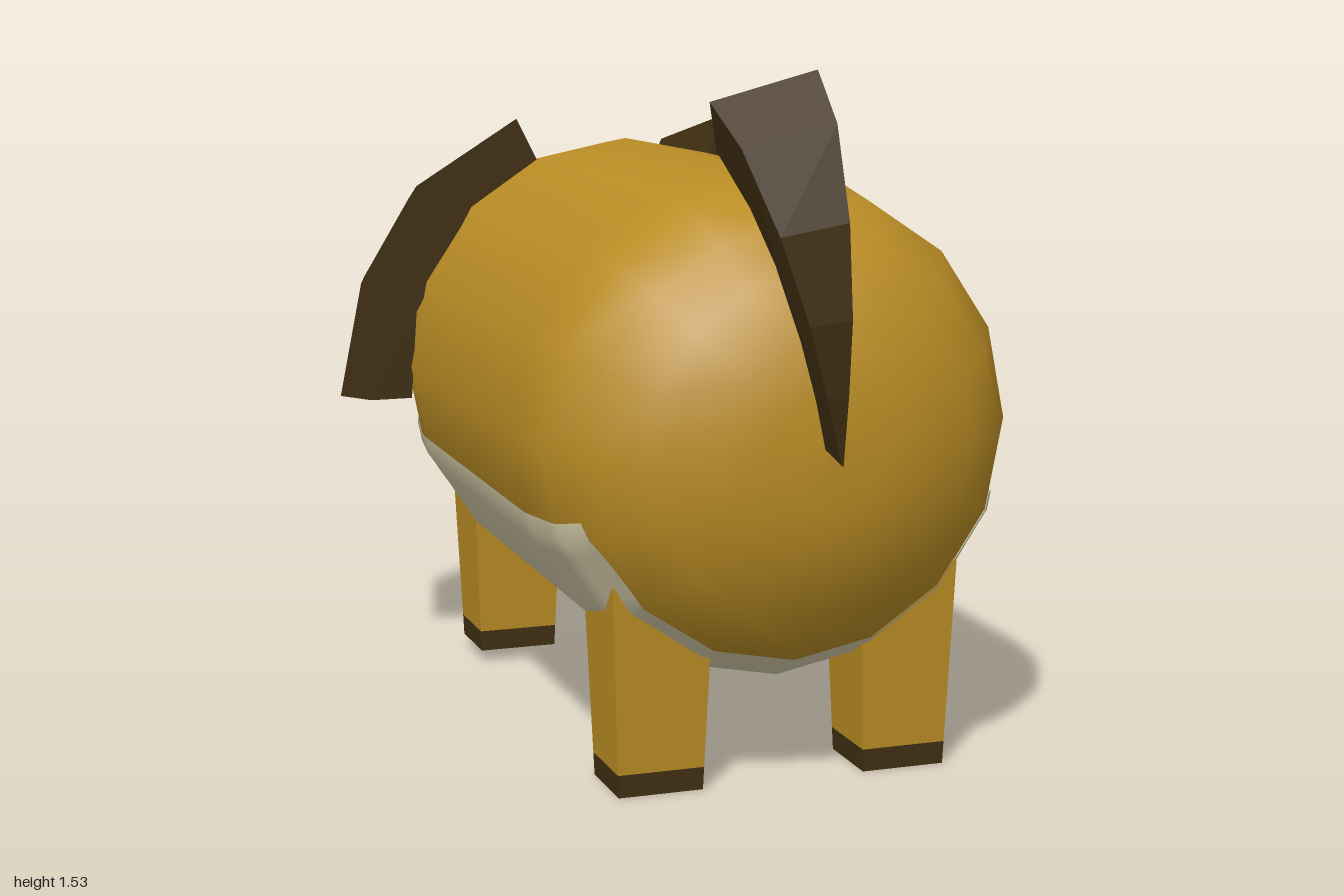
import * as THREE from 'three';

const mat = (name, color, side = THREE.FrontSide) => {
  const m = new THREE.MeshStandardMaterial({ color, side });
  m.name = name;
  return m;
};

const CY = 0.755, SIDES = 16, STEP = (Math.PI * 2) / SIDES;
// Body profile as [z, radius], from the face to the rump
const PROFILE = [
  [-1, 0], [-0.997, 0.1], [-0.985, 0.2], [-0.95, 0.31], [-0.85, 0.42], [-0.74, 0.48], [-0.6, 0.522], [-0.45, 0.543],
  [0.45, 0.545], [0.6, 0.525], [0.72, 0.455], [0.8, 0.36], [0.86, 0.23], [0.88, 0.12], [0.885, 0],
];

// Piecewise linear lookup in a list of pairs
function lookup(pairs, value, from, to) {
  for (let i = 1; i < pairs.length; i++) {
    const a = pairs[i - 1], b = pairs[i];
    if (value <= b[from]) return a[to] + ((b[to] - a[to]) * (value - a[from])) / (b[from] - a[from]);
  }
  return pairs[pairs.length - 1][to];
}
// Radius of the many-sided section relative to its corners
function facet(angle) {
  const d = ((angle % STEP) + STEP) % STEP;
  return Math.cos(STEP / 2) / Math.cos(d - STEP / 2);
}
// Open surface from a rule (u, v in 0..1) -> [x, y, z]
function grid(nu, nv, rule) {
  const pos = [], idx = [];
  for (let i = 0; i <= nu; i++) for (let j = 0; j <= nv; j++) pos.push(...rule(i / nu, j / nv));
  for (let i = 0; i < nu; i++) for (let j = 0; j < nv; j++) {
    const a = i * (nv + 1) + j, b = a + nv + 1;
    idx.push(a, b, a + 1, b, b + 1, a + 1);
  }
  const g = new THREE.BufferGeometry();
  g.setAttribute('position', new THREE.Float32BufferAttribute(pos, 3));
  g.setIndex(idx);
  g.computeVertexNormals();
  return g;
}
// Lays a point of the face drawing on the front of the head
function onFace(x, y, lift) {
  const r = Math.hypot(x, y - CY) / facet(Math.atan2(x, y - CY));
  return [x, y, lookup(PROFILE, r, 1, 0) - lift];
}
// Moves every vertex by a rule
function warp(g, rule) {
  const p = g.attributes.position, v = new THREE.Vector3();
  for (let i = 0; i < p.count; i++) {
    rule(v.fromBufferAttribute(p, i));
    p.setXYZ(i, v.x, v.y, v.z);
  }
  g.computeVertexNormals();
  return g;
}
const polygon = (pts) => new THREE.Shape(pts.map(([x, y]) => new THREE.Vector2(x, y)));

export function createModel() {
  const group = new THREE.Group();
  const fur = mat('golden fur', 0xba8d25);
  const dark = mat('dark brown fur', 0x402f12);
  const cream = mat('cream belly', 0xd6cdaa, THREE.DoubleSide);
  const white = mat('eye white', 0xe4e4e4, THREE.DoubleSide);
  const black = mat('black', 0x0b0b0b, THREE.DoubleSide);
  const add = (name, geometry, material) => {
    const m = new THREE.Mesh(geometry, material);
    m.name = name;
    group.add(m);
    return m;
  };

  // Body and head in one rounded barrel
  const body = new THREE.LatheGeometry(PROFILE.map(([z, r]) => new THREE.Vector2(r, z)), SIDES);
  body.rotateX(Math.PI / 2).translate(0, CY, 0);
  add('body', body, fur);

  // Belly patch, reaching under the chin
  const LIMIT = 72, front = [[0, -0.955], [54, -0.87], [66, -0.81], [LIMIT, -0.77]];
  add('belly', grid(64, 32, (u, v) => {
    const deg = v * 2 * LIMIT - LIMIT, a = THREE.MathUtils.degToRad(deg);
    const zf = lookup(front, Math.abs(deg), 0, 1);
    const zb = 0.7 - 0.03 * Math.pow(Math.abs(deg) / LIMIT, 8);
    const z = zf + (zb - zf) * u;
    const r = lookup(PROFILE, z, 0, 1) * facet(a) + 0.006;
    return [Math.sin(a) * r, CY - Math.cos(a) * r, z];
  }), cream);

  // Filled face details from an outline rule
  const patch = (name, material, lift, outline, cx, cy) => add(name, grid(36, 8, (u, v) => {
    const [x, y] = outline(u * Math.PI * 2);
    return onFace(cx + x * v, cy + y * v, lift);
  }), material);

  for (const s of [1, -1]) {
    const side = s > 0 ? 'left' : 'right';
    // Eyes, leaning outwards at the bottom
    patch(side + 'Eye', white, 0.004, (t) => [
      s * (0.092 * Math.cos(t) - 0.025 * Math.sin(t)), 0.1 * Math.sin(t)], s * 0.155, 0.94);
    patch(side + 'Pupil', black, 0.008, (t) => [0.025 * Math.cos(t), 0.027 * Math.sin(t)], s * 0.14, 0.93);

    // Half of the smile
    const smile = new THREE.CatmullRomCurve3([
      [0, 0.72], [0.003, 0.635], [0.05, 0.575], [0.13, 0.55], [0.2, 0.59], [0.228, 0.665],
    ].map(([x, y]) => new THREE.Vector3(s * x, y, 0)));
    add(side + 'Smile', grid(40, 2, (u, v) => {
      const p = smile.getPoint(u), d = smile.getTangent(u), w = (v - 0.5) * 0.032;
      return onFace(p.x - d.y * w, p.y + d.x * w, 0.005);
    }), black);

    // Ears: bent slabs, narrower toward the face
    const ear = new THREE.ExtrudeGeometry(polygon([
      [0.27, 1.35], [0.52, 1.195], [0.66, 0.965], [0.715, 0.695], [0.64, 0.68],
      [0.54, 0.68], [0.525, 0.89], [0.385, 1.14], [0.22, 1.25],
    ].map(([x, y]) => [s * x, y])), { depth: 0.39, bevelEnabled: false });
    add(side + 'Ear', warp(ear, (v) => {
      const k = v.z < 0.1 ? 0.86 : 1;
      v.set(v.x * k, 0.7 + (v.y - 0.7) * k, v.z - 0.86);
    }), dark);

    // Tapered legs with dark feet
    const legPart = (y0, y1, base, z) => warp(new THREE.BoxGeometry(1, 1, 1), (v) => {
      const y = v.y > 0 ? y1 : y0, t = (y - base) / (0.46 - base);
      v.set(s * 0.2785 + v.x * (0.188 + 0.036 * t), y, z + v.z * (0.172 + 0.038 * t));
    });
    for (const [name, base, z] of [['Front', 0.03, -0.56], ['Back', 0, 0.557]]) {
      add(side + name + 'Leg', legPart(base + 0.05, 0.46, base, z), fur);
      add(side + name + 'Foot', legPart(base, base + 0.05, base, z), dark);
    }
  }

  // Nose: rounded, wider at the top
  patch('nose', black, 0.007, (t) => {
    const y = Math.sin(t);
    return [Math.cos(t) * (0.068 + 0.034 * y), 0.075 * y + 0.012 * Math.cos(2 * t)];
  }, 0, 0.785);

  // Tail: curved blade widening to one side toward the tip
  const tail = new THREE.ExtrudeGeometry(polygon([
    [0.885, 0.77], [0.96, 0.75], [0.985, 0.9], [1, 1.05], [0.98, 1.24], [0.91, 1.43], [0.805, 1.53],
    [0.75, 1.41], [0.85, 1.29], [0.9, 1.17], [0.92, 1.02], [0.91, 0.88],
  ]), { depth: 1, bevelEnabled: false });
  tail.rotateY(-Math.PI / 2);
  add('tail', warp(tail, (v) => {
    const t = Math.max(0.01, (v.y - 0.74) / 0.79);
    v.x *= 0.23 * t;
    v.y += 0.26 * v.x * t;
  }), dark);

  return group;
}
